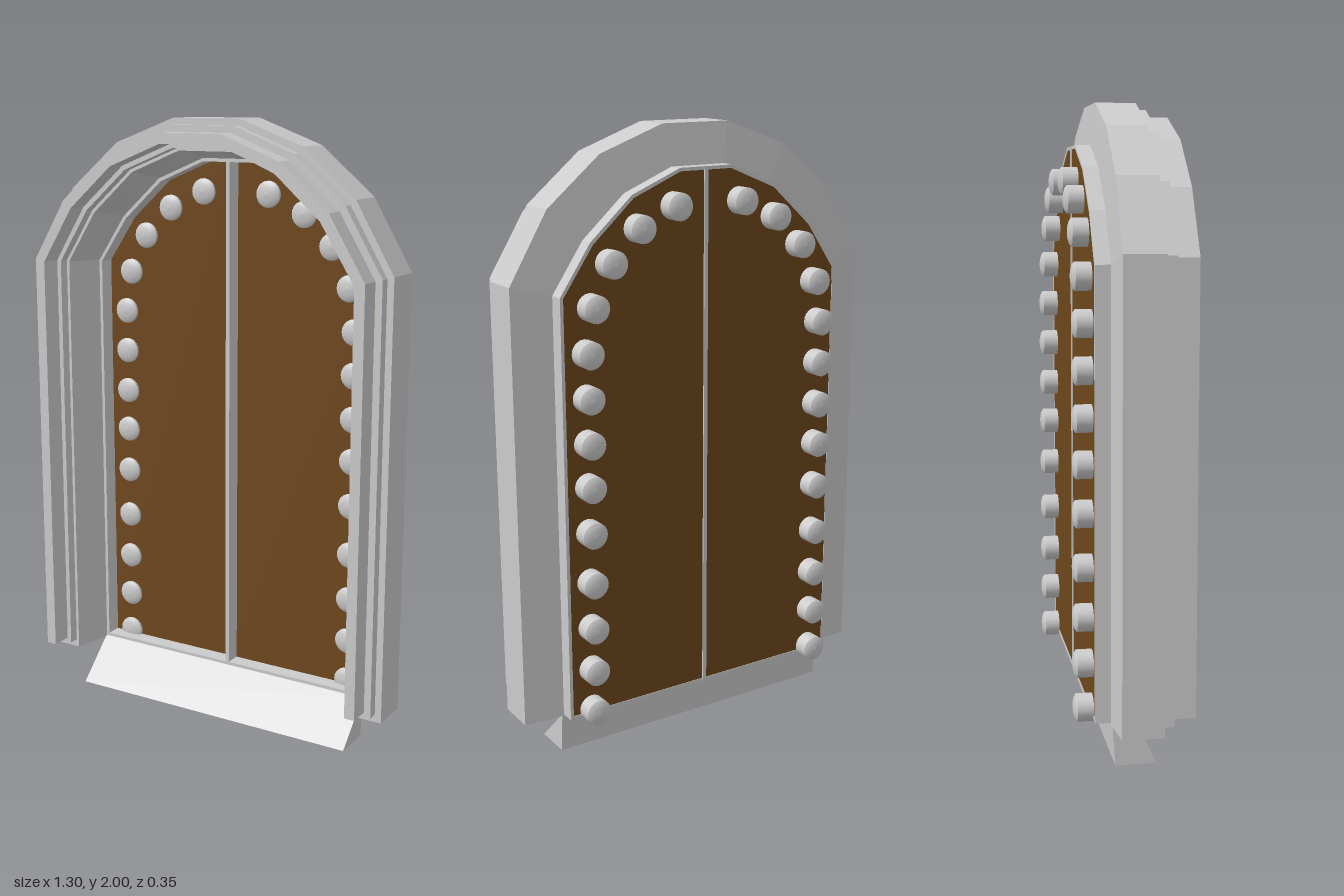
import * as THREE from 'three';

const grey = new THREE.MeshStandardMaterial({ color: 0xcccccc });
const brown = new THREE.MeshStandardMaterial({ color: 0x6e471c, side: THREE.DoubleSide });

// Half arch (spring point to crown) at the outer frame edge and at the door edge
const OUTER = [[0.65, 1.55], [0.52, 1.77], [0.34, 1.92], [0.12, 2.0]];
const INNER = [[0.515, 1.515], [0.41, 1.67], [0.265, 1.8], [0.095, 1.87]];

// Half outline of the arch whose legs stand at x, starting from the foot
function halfArch(x, foot) {
  const t = (0.65 - x) / 0.135;
  const pts = OUTER.map(([ox, oy], i) => [
    THREE.MathUtils.lerp(ox, INNER[i][0], t),
    THREE.MathUtils.lerp(oy, INNER[i][1], t),
  ]);
  return [[x, foot], ...pts];
}

// Sweep a four-cornered section, given as [x, z] corners, round the arch
function archBand(name, section, foot) {
  const rails = section.map(([x, z]) => {
    const half = halfArch(x, foot);
    const mirrored = half.map(([px, py]) => [-px, py]).reverse();
    return [...half, ...mirrored].map(([px, py]) => [px, py, z]);
  });
  const n = rails[0].length;
  const pos = [];
  const tri = (a, b, c) => pos.push(...a, ...b, ...c);
  for (let i = 0; i < n - 1; i++) {
    for (let j = 0; j < 4; j++) {
      const r = rails[j], s = rails[(j + 1) % 4];
      tri(r[i], r[i + 1], s[i + 1]);
      tri(r[i], s[i + 1], s[i]);
    }
  }
  // Feet of the two legs
  const [a, b, c, d] = rails;
  tri(a[0], b[0], c[0]);
  tri(a[0], c[0], d[0]);
  const e = n - 1;
  tri(a[e], c[e], b[e]);
  tri(a[e], d[e], c[e]);
  const geo = new THREE.BufferGeometry();
  geo.setAttribute('position', new THREE.Float32BufferAttribute(pos, 3));
  geo.computeVertexNormals();
  return makeMesh(name, geo, grey);
}

function makeMesh(name, geo, mat) {
  const mesh = new THREE.Mesh(geo, mat);
  mesh.name = name;
  return mesh;
}

function box(name, w, h, d, x, y, z) {
  const mesh = makeMesh(name, new THREE.BoxGeometry(w, h, d), grey);
  mesh.position.set(x, y, z);
  return mesh;
}

export function createModel() {
  const model = new THREE.Group();
  model.name = 'archedDoorway';

  // Stepped stone frame: three bands, each narrower and further forward
  const frame = new THREE.Group();
  frame.name = 'frame';
  frame.add(
    archBand('outerBand', [[0.65, -0.056], [0.65, 0.072], [0.545, 0.072], [0.516, -0.068]], 0.13),
    archBand('middleBand', [[0.628, 0.06], [0.628, 0.105], [0.555, 0.105], [0.555, 0.06]], 0.155),
    archBand('frontBand', [[0.605, 0.09], [0.605, 0.175], [0.57, 0.175], [0.57, 0.09]], 0.17),
  );
  model.add(frame);

  // Wedge-shaped sill sloping down to the front
  const wedge = new THREE.Shape([
    new THREE.Vector2(-0.072, 0),
    new THREE.Vector2(0.055, 0),
    new THREE.Vector2(0.064, 0.135),
  ]);
  const sillGeo = new THREE.ExtrudeGeometry(wedge, { depth: 1.04, bevelEnabled: false });
  sillGeo.translate(0, 0, -0.52).rotateY(Math.PI / 2);
  model.add(makeMesh('sill', sillGeo, grey));

  // Door: thin grey rim and centre strip around two recessed leaves
  const door = new THREE.Group();
  door.name = 'door';
  door.add(
    archBand('doorRim', [[0.516, -0.116], [0.516, -0.06], [0.505, -0.06], [0.505, -0.116]], 0.135),
    box('bottomRim', 1.03, 0.011, 0.056, 0, 0.1405, -0.088),
    box('centreStrip', 0.014, 1.732, 0.058, 0, 1.001, -0.089),
  );
  const leafPts = [[0, 0.14], ...halfArch(0.51, 0.14), [0, halfArch(0.51, 0)[4][1]]];
  for (const side of [1, -1]) {
    const shape = new THREE.Shape(leafPts.map(([x, y]) => new THREE.Vector2(side * x, y)));
    const leaf = makeMesh(side > 0 ? 'leftLeaf' : 'rightLeaf', new THREE.ShapeGeometry(shape), brown);
    leaf.position.z = -0.114;
    door.add(leaf);
  }
  model.add(door);

  // Round studs through the leaves, slightly domed at both ends
  const profile = [
    [0, -0.175], [0.02, -0.173], [0.034, -0.169], [0.043, -0.163], [0.043, -0.163],
    [0.043, -0.106], [0.043, -0.106], [0.034, -0.1], [0.02, -0.096], [0, -0.094],
  ].map(([r, z]) => new THREE.Vector2(r, z));
  const studGeo = new THREE.LatheGeometry(profile, 20).rotateX(Math.PI / 2);
  const spots = [0.16, 0.3, 0.445, 0.6, 0.767, 0.917, 1.057, 1.2, 1.34].map((y) => [0.437, y]);
  spots.push([0.416, 1.478], [0.352, 1.605], [0.252, 1.702], [0.122, 1.76]);
  const studs = new THREE.Group();
  studs.name = 'studs';
  for (const side of [1, -1]) {
    for (const [x, y] of spots) {
      const stud = makeMesh('stud', studGeo, grey);
      stud.position.set(side * x, y, 0);
      studs.add(stud);
    }
  }
  model.add(studs);

  return model;
}
